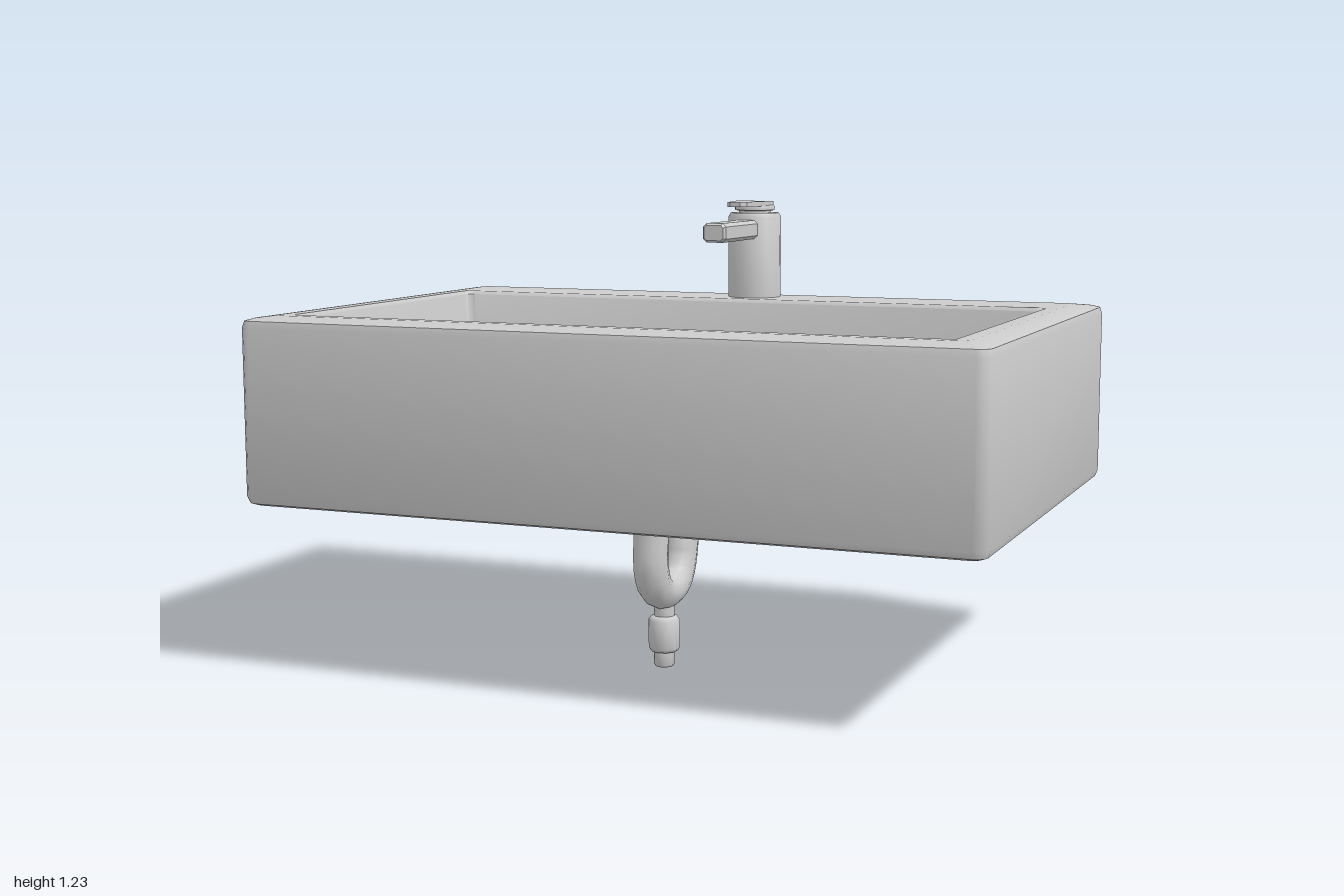
import * as THREE from 'three';
import { toCreasedNormals } from 'three/addons/utils/BufferGeometryUtils.js';

const material = new THREE.MeshStandardMaterial({ color: 0xcccccc, side: THREE.DoubleSide });

function add(parent, name, geometry, x = 0, y = 0, z = 0) {
  const mesh = new THREE.Mesh(geometry, material);
  mesh.name = name;
  mesh.position.set(x, y, z);
  parent.add(mesh);
  return mesh;
}

// Skin over a stack of rounded rectangles: [half width, back z, front z, y, corner radius]
function loftRects(rows, cornerSteps = 3) {
  const n = 4 * (cornerSteps + 1);
  const points = [], index = [];
  rows.forEach(([hx, z0, z1, y, r]) => {
    const zc = (z0 + z1) / 2, hz = (z1 - z0) / 2;
    for (let k = 0; k < 4; k++) {
      const sx = k === 0 || k === 3 ? 1 : -1, sz = k < 2 ? 1 : -1;
      for (let j = 0; j <= cornerSteps; j++) {
        const a = (k + j / cornerSteps) * Math.PI / 2;
        points.push(sx * (hx - r) + r * Math.cos(a), y, zc + sz * (hz - r) + r * Math.sin(a));
      }
    }
  });
  for (let i = 0; i < rows.length - 1; i++) {
    for (let j = 0; j < n; j++) {
      const a = i * n + j, b = i * n + (j + 1) % n;
      index.push(a, a + n, b, b, a + n, b + n);
    }
  }
  const g = new THREE.BufferGeometry();
  g.setAttribute('position', new THREE.Float32BufferAttribute(points, 3));
  g.setIndex(index);
  return toCreasedNormals(g, 0.75);
}

function lathe(profile, sides) {
  const g = new THREE.LatheGeometry(profile.map(p => new THREE.Vector2(...p)), sides);
  return toCreasedNormals(g, 0.85);
}

export function createModel() {
  const model = new THREE.Group();
  model.name = 'washbasin';

  // Basin: underside, outer walls, rim, inner walls, floor falling to the drain
  add(model, 'basin', loftRects([
    [0, 0, 0, 0.45, 0],
    [0.975, -0.63, 0.65, 0.45, 0.02],
    [0.993, -0.648, 0.668, 0.457, 0.03],
    [1, -0.655, 0.675, 0.475, 0.035],
    [1, -0.655, 0.675, 0.92, 0.035],
    [0.994, -0.65, 0.669, 0.938, 0.03],
    [0.975, -0.63, 0.65, 0.944, 0.025],
    [0.93, -0.58, 0.61, 0.95, 0.02],
    [0.893, -0.39, 0.578, 0.95, 0.02],
    [0.885, -0.38, 0.57, 0.94, 0.02],
    [0.875, -0.37, 0.56, 0.73, 0.02],
    [0.866, -0.36, 0.55, 0.7, 0.02],
    [0.84, -0.335, 0.525, 0.685, 0.02],
    [0.055, 0.21, 0.32, 0.61, 0.045],
    [0.05, 0.215, 0.315, 0.56, 0.045],
    [0, 0.265, 0.265, 0.56, 0],
  ]));

  // Tap
  const tap = new THREE.Group();
  tap.name = 'tap';
  tap.position.set(0, 0.945, -0.5);
  model.add(tap);
  add(tap, 'tapBody', lathe([[0, 0], [0.077, 0], [0.077, 0.238], [0.07, 0.25], [0, 0.25]], 16));
  add(tap, 'tapCap', lathe([[0.05, 0.248], [0.05, 0.256], [0.062, 0.258], [0.062, 0.27],
    [0.05, 0.28], [0, 0.28]], 8));

  // Spout: rounded bar pointing forwards
  const bar = new THREE.Shape();
  bar.moveTo(-0.024, -0.027).lineTo(0.024, -0.027).lineTo(0.034, -0.017).lineTo(0.034, 0.017)
    .lineTo(0.024, 0.027).lineTo(-0.024, 0.027).lineTo(-0.034, 0.017).lineTo(-0.034, -0.017);
  add(tap, 'spout', new THREE.ExtrudeGeometry(bar, {
    depth: 0.27, bevelThickness: 0.008, bevelSize: 0.006, bevelOffset: -0.006, bevelSegments: 1,
  }), 0, 0.203, 0.052);

  // Lever: flat blade narrowing from the cap towards a blunt tip
  const blade = new THREE.Shape();
  blade.moveTo(-0.058, 0).lineTo(-0.045, -0.04).lineTo(-0.03, -0.08).lineTo(-0.03, -0.145)
    .lineTo(-0.015, -0.163).lineTo(0.015, -0.163).lineTo(0.03, -0.145).lineTo(0.03, -0.08)
    .lineTo(0.045, -0.04).lineTo(0.058, 0);
  const lever = add(tap, 'lever',
    new THREE.ExtrudeGeometry(blade, { depth: 0.014, bevelEnabled: false }), 0, 0.27, 0);
  lever.rotation.x = -Math.PI / 2;

  // Waste pipe: drop, U bend and run to the wall, as [z, y]
  const route = [[0.275, 0.47], [0.275, 0.38], [0.275, 0.28], [0.245, 0.226], [0.18, 0.203],
    [0.112, 0.222], [0.078, 0.27], [0.06, 0.335], [0.025, 0.378], [-0.04, 0.4],
    [-0.2, 0.397], [-0.68, 0.392]].map(([z, y]) => new THREE.Vector3(0, y, z));
  const path = new THREE.CatmullRomCurve3(route, false, 'centripetal');
  add(model, 'wastePipe', new THREE.TubeGeometry(path, 48, 0.047, 12, false));

  // Clean-out plug under the bend
  add(model, 'cleanOutPlug', lathe([[0, 0], [0.024, 0], [0.028, 0.005], [0.028, 0.04],
    [0.036, 0.042], [0.042, 0.05], [0.042, 0.128], [0.036, 0.137], [0.028, 0.139],
    [0.028, 0.175]], 10), 0, 0, 0.188);

  return model;
}
